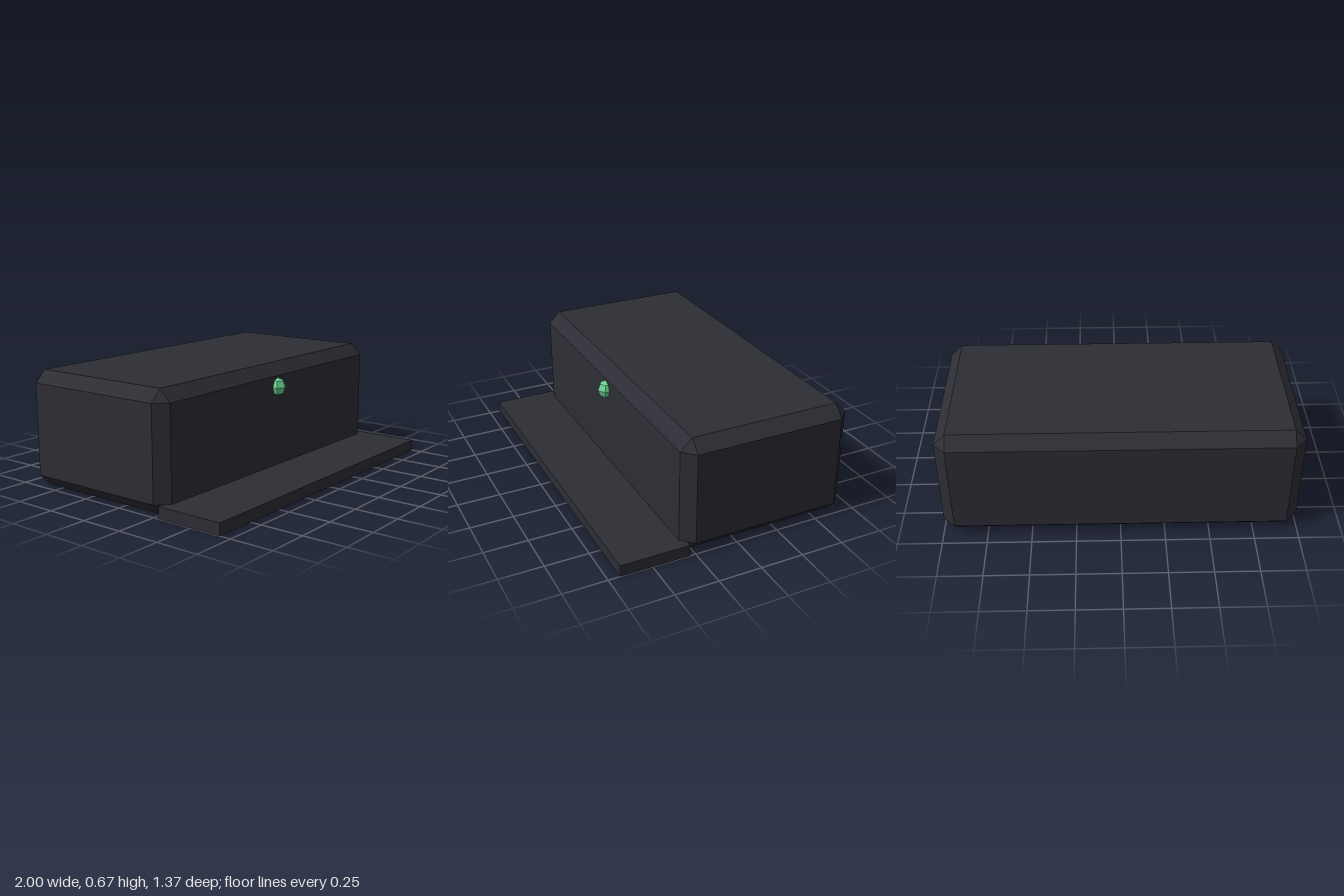
import * as THREE from 'three';
import { ConvexGeometry } from 'three/addons/geometries/ConvexGeometry.js';

// Box with every edge bevelled at 45 degrees and triangular corners
function chamferedBox(w, h, d, c) {
  const points = [];
  for (const sx of [-1, 1]) for (const sy of [-1, 1]) for (const sz of [-1, 1]) {
    const x = w / 2, y = h / 2, z = d / 2;
    points.push(
      new THREE.Vector3(sx * x, sy * (y - c), sz * (z - c)),
      new THREE.Vector3(sx * (x - c), sy * y, sz * (z - c)),
      new THREE.Vector3(sx * (x - c), sy * (y - c), sz * z),
    );
  }
  return new ConvexGeometry(points);
}

export function createModel() {
  const group = new THREE.Group();
  const casing = new THREE.MeshStandardMaterial({ name: 'dark casing', color: 0x2d2d35, flatShading: true });
  const green = new THREE.MeshStandardMaterial({ name: 'green light', color: 0x68d391, flatShading: true });

  const add = (name, geometry, material, x, y, z) => {
    const mesh = new THREE.Mesh(geometry, material);
    mesh.name = name;
    mesh.position.set(x, y, z);
    group.add(mesh);
    return mesh;
  };

  // Main housing
  add('body', chamferedBox(2, 0.667, 1, 0.067), casing, 0, 0.3335, -0.184);

  // Flat tray reaching out at the front
  add('frontTray', new THREE.BoxGeometry(2, 0.067, 0.4), casing, 0, 0.0335, 0.484);

  // Small faceted indicator, half sunk into the front face
  const light = add('indicatorLight', new THREE.SphereGeometry(0.0535, 6, 4), green, 0, 0.535, 0.316);
  light.rotation.y = Math.PI / 2;

  return group;
}
